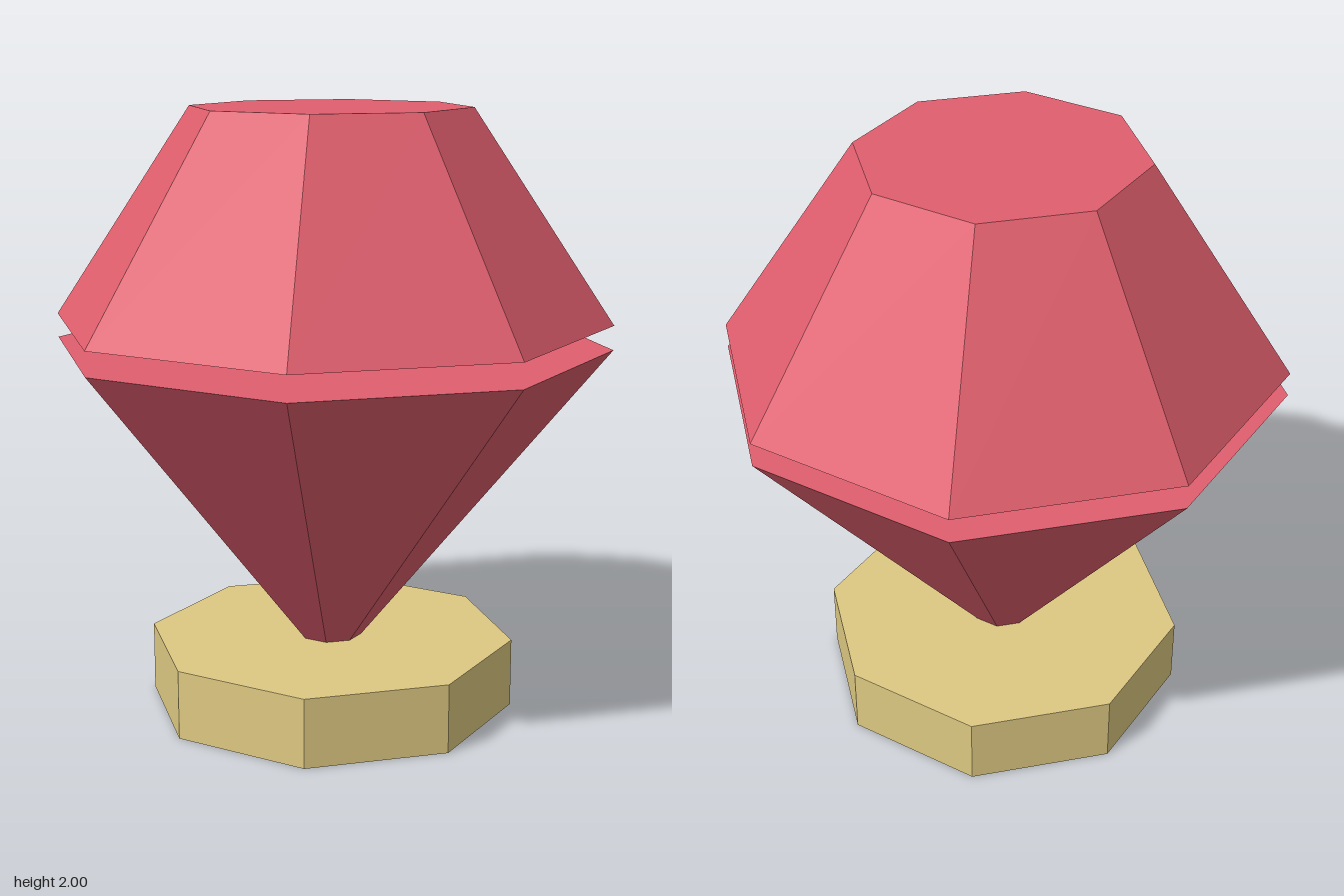
import * as THREE from 'three';

export function createModel() {
  const group = new THREE.Group();
  const gemRed = new THREE.MeshStandardMaterial({ color: 0xe05e6d, flatShading: true });
  gemRed.name = 'gemRed';
  const paleGold = new THREE.MeshStandardMaterial({ color: 0xdec982, flatShading: true });
  paleGold.name = 'paleGold';

  // Eight-sided tapered solid between two heights
  function octagon(name, rTop, rBottom, y0, y1, material) {
    const mesh = new THREE.Mesh(new THREE.CylinderGeometry(rTop, rBottom, y1 - y0, 8), material);
    mesh.name = name;
    mesh.position.y = (y0 + y1) / 2;
    group.add(mesh);
  }

  octagon('base', 0.615, 0.615, 0, 0.23, paleGold);
  // The lower gem's tip sinks into the base
  octagon('lowerGem', 0.92, 0.045, 0.154, 1.23, gemRed);
  // The upper gem floats over a narrow gap
  octagon('upperGem', 0.46, 0.92, 1.31, 2, gemRed);

  return group;
}
